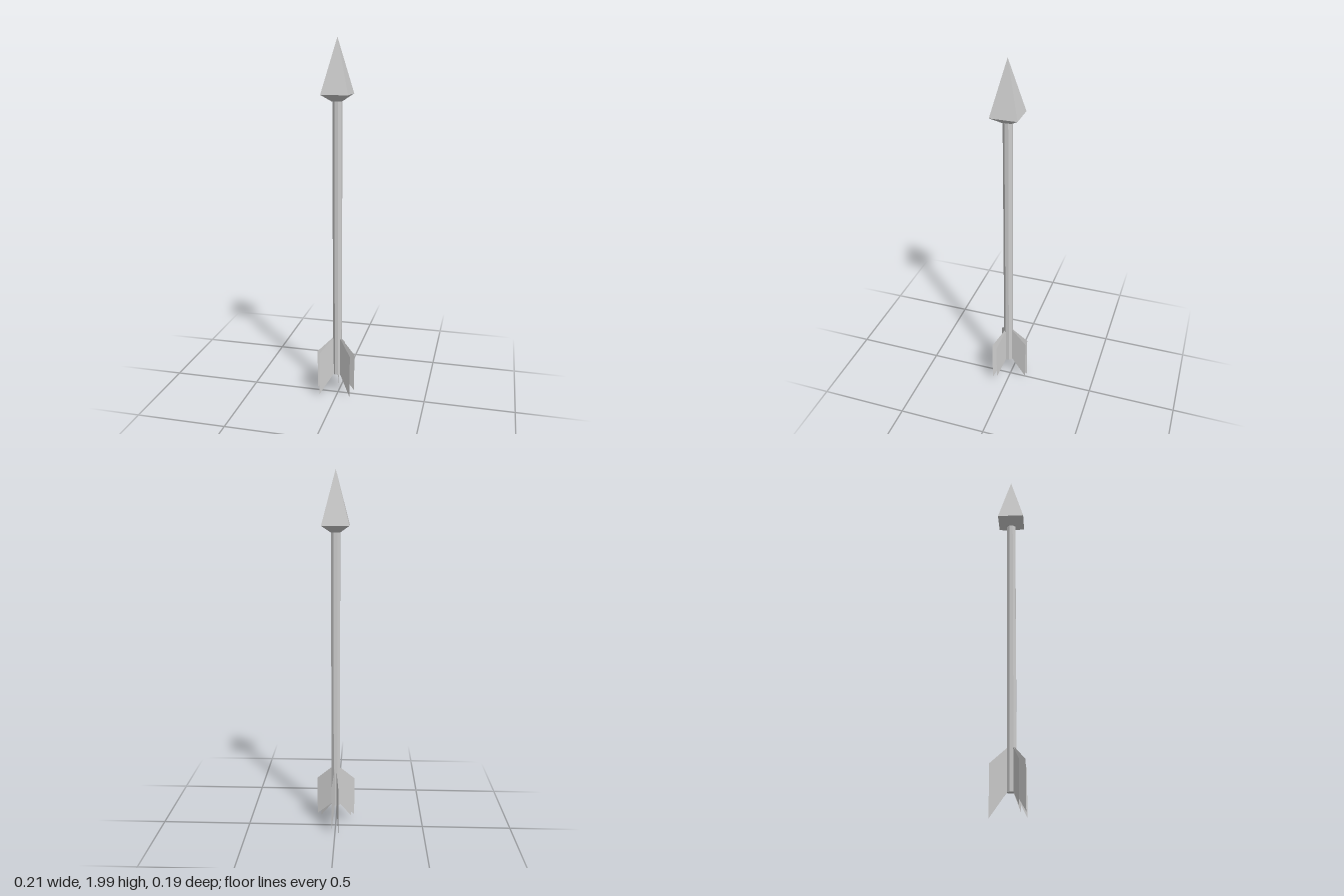
import * as THREE from 'three';

const AXIS_Z = 0.012; // the shaft axis sits slightly forward of the centre

export function createModel() {
  const group = new THREE.Group();
  const grey = new THREE.MeshStandardMaterial({ color: 0xcccccc, flatShading: true });
  const thin = new THREE.MeshStandardMaterial({ color: 0xcccccc, flatShading: true, side: THREE.DoubleSide });

  const add = (name, geometry, material, y = 0) => {
    const mesh = new THREE.Mesh(geometry, material);
    mesh.name = name;
    mesh.position.set(0, y, AXIS_Z);
    group.add(mesh);
    return mesh;
  };

  // Shaft
  const bottom = 0.137, top = 1.69;
  const shaft = new THREE.CylinderGeometry(0.026, 0.026, top - bottom, 8).rotateY(Math.PI / 8);
  add('shaft', shaft, grey, (bottom + top) / 2);

  // Four-sided head: long point above, short taper down to the shaft
  const R = 0.073 * Math.SQRT2;
  const point = new THREE.CylinderGeometry(0, R, 0.285, 4, 1, true).rotateY(Math.PI / 4);
  add('headPoint', point, grey, 1.715 + 0.1425);
  const taper = new THREE.CylinderGeometry(R, 0.026 * Math.SQRT2, 0.035, 4).rotateY(Math.PI / 4);
  add('headTaper', taper, grey, 1.6975);

  // Three feathers, each a pair of thin vanes spreading outward from the shaft.
  // Every vane has a slightly different lower tip: [first side, second side]
  const tips = [[0.01, 0.03], [0.03, 0.055], [0.06, 0.03]];
  const feathers = new THREE.Group();
  feathers.name = 'feathers';
  feathers.position.z = AXIS_Z;
  group.add(feathers);

  tips.forEach((pair, i) => {
    const feather = new THREE.Group();
    feather.name = 'feather';
    feather.rotation.y = (i * 2 * Math.PI) / 3;
    pair.forEach((tip, j) => {
      const side = j === 0 ? -1 : 1;
      const inner = [side * 0.004, -0.022], outer = [side * 0.019, -0.112];
      const dx = outer[0] - inner[0], dz = outer[1] - inner[1];
      const length = Math.hypot(dx, dz);
      const outline = new THREE.Shape([
        new THREE.Vector2(0, 0.14),
        new THREE.Vector2(length, tip),
        new THREE.Vector2(length, 0.28),
        new THREE.Vector2(0, 0.362),
      ]);
      const vane = new THREE.Mesh(new THREE.ShapeGeometry(outline), thin);
      vane.name = 'vane';
      vane.position.set(inner[0], 0, inner[1]);
      vane.rotation.y = Math.atan2(-dz, dx);
      feather.add(vane);
    });
    feathers.add(feather);
  });

  return group;
}
